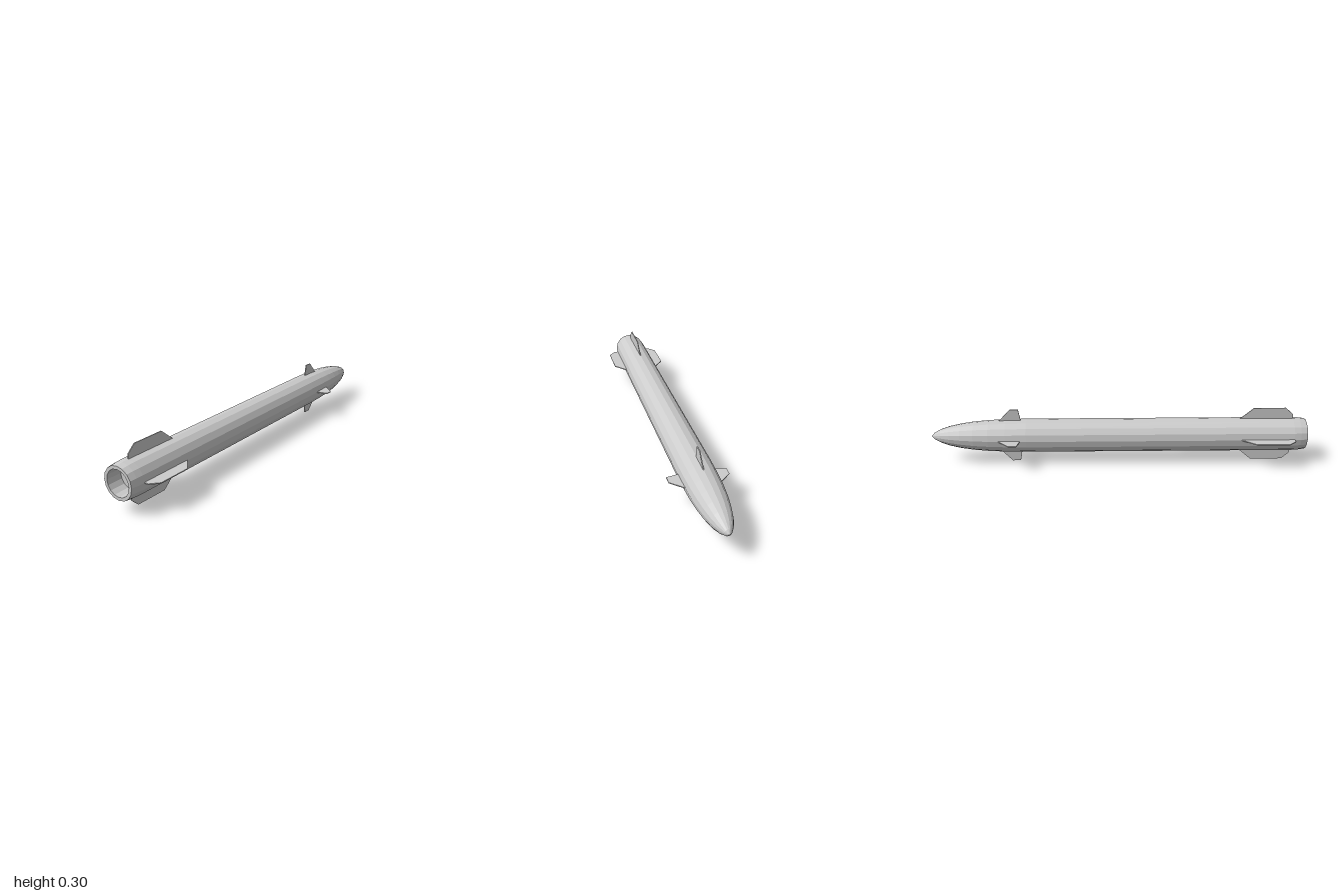
import * as THREE from 'three';

const AXIS_Y = 0.148;

// thin fin plate; outline is [position along body, distance from axis]
function finGeometry(outline, thickness) {
  const shape = new THREE.Shape(outline.map(([x, r]) => new THREE.Vector2(x, r)));
  const g = new THREE.ExtrudeGeometry(shape, { depth: thickness, bevelEnabled: false });
  return g.translate(0, 0, -thickness / 2);
}

export function createModel() {
  const model = new THREE.Group();
  model.name = 'missile';
  const material = new THREE.MeshStandardMaterial({ color: 0xcccccc, flatShading: true });

  const assembly = new THREE.Group();
  assembly.name = 'assembly';
  assembly.position.y = AXIS_Y;
  model.add(assembly);

  // body: exhaust recess, rim, boat tail, tube and rounded nose in one profile
  const profile = [
    [0, -0.92], [0.064, -0.92], [0.066, -1], [0.082, -1], [0.087, -0.965], [0.089, -0.93],
    [0.089, 0.49], [0.087, 0.6], [0.083, 0.69], [0.076, 0.77], [0.066, 0.84],
    [0.053, 0.9], [0.036, 0.95], [0.018, 0.983], [0, 1],
  ].map(([r, x]) => new THREE.Vector2(r, x));
  const bodyGeometry = new THREE.LatheGeometry(profile, 16).rotateZ(-Math.PI / 2);
  const body = new THREE.Mesh(bodyGeometry, material);
  body.name = 'body';
  assembly.add(body);

  // four tail fins and four canards, spaced a quarter turn apart
  const tailFin = finGeometry(
    [[-0.93, 0.075], [-0.65, 0.075], [-0.65, 0.089], [-0.72, 0.148], [-0.89, 0.148], [-0.93, 0.112]], 0.005);
  const canard = finGeometry(
    [[0.52, 0.075], [0.635, 0.075], [0.635, 0.085], [0.575, 0.148], [0.532, 0.148], [0.52, 0.085]], 0.005);
  for (let i = 0; i < 4; i++) {
    for (const [name, geometry] of [['tailFin', tailFin], ['canard', canard]]) {
      const fin = new THREE.Mesh(geometry, material);
      fin.name = name + (i + 1);
      fin.rotation.x = i * Math.PI / 2;
      assembly.add(fin);
    }
  }
  return model;
}
